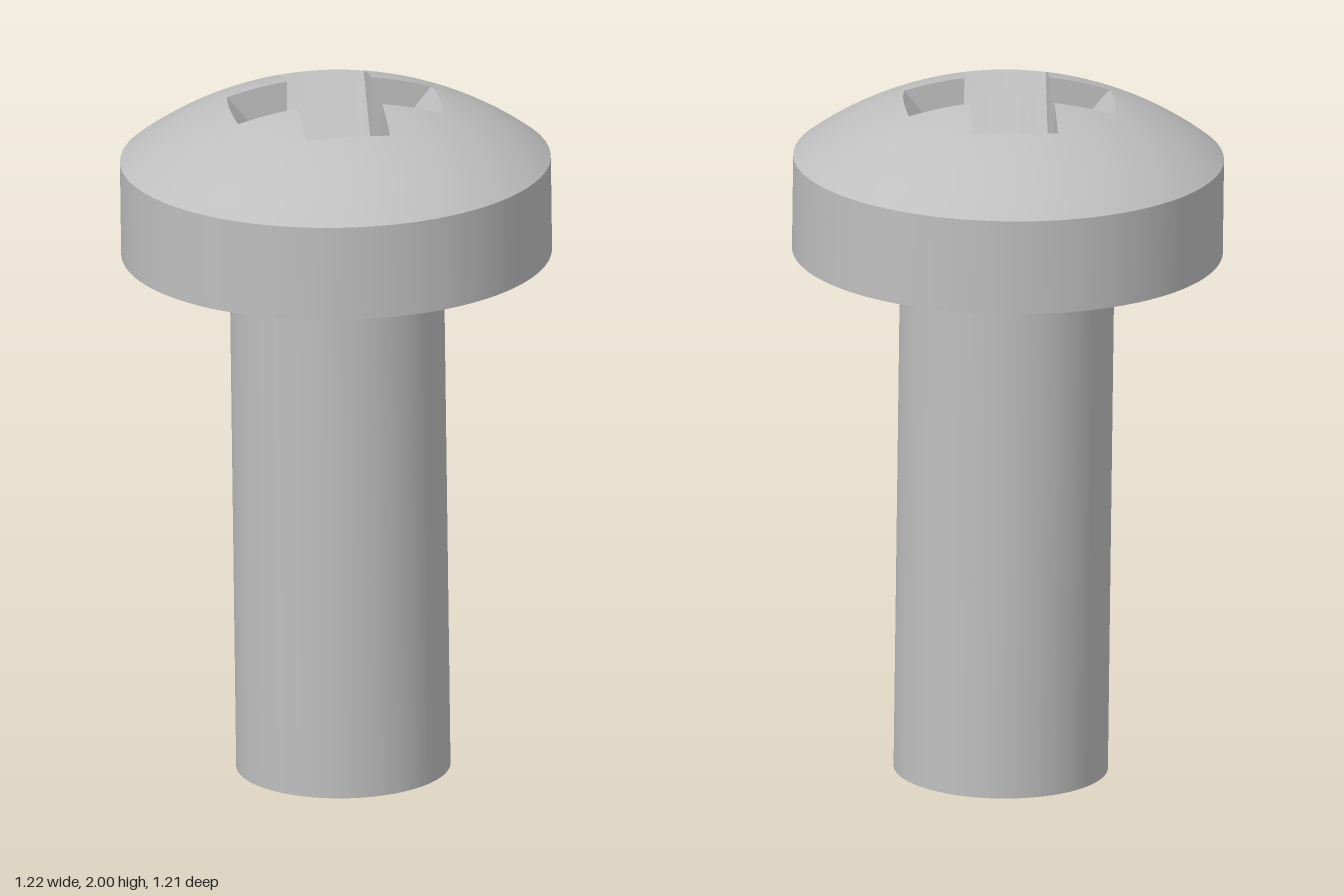
import * as THREE from 'three';

const HEAD_R = 0.607, SHAFT_R = 0.302, UNDER_Y = 1.526, RIM_Y = 1.8;
const DOME_R = 0.98;
const DOME_C = RIM_Y - Math.sqrt(DOME_R ** 2 - HEAD_R ** 2);
const domeY = (x, z) => DOME_C + Math.sqrt(DOME_R ** 2 - x * x - z * z);

// Cross recess: half arm width, arm reach, depth at arm root, depth at centre
const A = 0.12, REACH = 0.29, ROOT_Y = 1.755, DEEP_Y = 1.6;
const V = (x, y, z) => new THREE.Vector3(x, y, z);
const onDome = (x, z) => V(x, domeY(x, z), z);

function meshFrom(points, material, name, normalOf) {
  const g = new THREE.BufferGeometry().setFromPoints(points);
  if (normalOf) {
    const n = points.flatMap((p) => normalOf(p).toArray());
    g.setAttribute('normal', new THREE.Float32BufferAttribute(n, 3));
  } else g.computeVertexNormals();
  const m = new THREE.Mesh(g, material);
  m.name = name;
  return m;
}

function named(geometry, material, name, y) {
  const m = new THREE.Mesh(geometry, material);
  m.name = name;
  m.position.y = y;
  return m;
}

export function createModel() {
  const steel = new THREE.MeshStandardMaterial({ color: 0xbfbfbf });
  steel.name = 'steel grey';
  const group = new THREE.Group();
  group.name = 'screw';

  // Shaft and cylindrical part of the head
  group.add(named(new THREE.CylinderGeometry(SHAFT_R, SHAFT_R, UNDER_Y, 96), steel, 'shaft', UNDER_Y / 2));
  const h = RIM_Y - UNDER_Y;
  group.add(named(new THREE.CylinderGeometry(HEAD_R, HEAD_R, h, 128, 1, true), steel, 'headSide', UNDER_Y + h / 2));
  const under = new THREE.RingGeometry(SHAFT_R - 0.01, HEAD_R, 128).rotateX(Math.PI / 2);
  group.add(named(under, steel, 'headUnderside', UNDER_Y));

  // One arm of the recess along +x
  const N = 8;
  const steps = [...Array(N + 1).keys()].map((i) => i / N);
  const sideNeg = steps.map((t) => onDome(A + (REACH - A) * t, -A));
  const sidePos = steps.map((t) => onDome(A + (REACH - A) * t, A));
  const tip = steps.map((t) => {
    const v = 2 * t - 1;
    return onDome(REACH + 0.008 * (1 - v * v), v * A);
  });
  const root = steps.map((t) => V(A, ROOT_Y, (2 * t - 1) * A));
  const arm = [];
  const tri = (...p) => arm.push(...p);
  for (let i = 0; i < N; i++) {
    // Sloping end face, then the two upright side walls
    tri(root[i], root[i + 1], tip[i + 1]);
    tri(root[i], tip[i + 1], tip[i]);
    tri(root[N], sidePos[i], sidePos[i + 1]);
    tri(root[0], sideNeg[i + 1], sideNeg[i]);
  }
  // Centre: V-shaped groove and the step at its outer end
  const centre = V(0, DEEP_Y, 0), mid = V(A, DEEP_Y, 0);
  tri(root[0], mid, root[N]);
  tri(centre, root[N], mid);
  tri(centre, mid, root[0]);

  const recess = [], outline = [];
  const armEdge = [...sideNeg, ...tip.slice(1), ...sidePos.slice(1, -1).reverse()];
  for (let k = 0; k < 4; k++) {
    const turn = new THREE.Matrix4().makeRotationY((-k * Math.PI) / 2);
    recess.push(...arm.map((p) => p.clone().applyMatrix4(turn)));
    outline.push(...armEdge.map((p) => p.clone().applyMatrix4(turn)));
  }

  // Dome surface from the recess outline out to the rim
  const ROWS = 14, dome = [];
  const at = (i, j) => {
    const p = outline[i % outline.length];
    const r0 = Math.hypot(p.x, p.z);
    const s = (r0 + ((HEAD_R - r0) * j) / ROWS) / r0;
    return onDome(p.x * s, p.z * s);
  };
  for (let i = 0; i < outline.length; i++) {
    for (let j = 0; j < ROWS; j++) {
      const a = at(i, j), b = at(i + 1, j), c = at(i + 1, j + 1), d = at(i, j + 1);
      dome.push(a, b, c, a, c, d);
    }
  }
  const top = new THREE.Group();
  top.name = 'headTop';
  top.add(meshFrom(dome, steel, 'dome', (p) => V(p.x, p.y - DOME_C, p.z).normalize()));
  top.add(meshFrom(recess, steel, 'crossRecess'));
  top.rotation.y = 0.234;
  group.add(top);

  // The screw leans very slightly
  group.rotation.z = 0.0125;
  group.position.set(0.0175, 0.004, 0);
  const model = new THREE.Group();
  model.add(group);
  return model;
}
